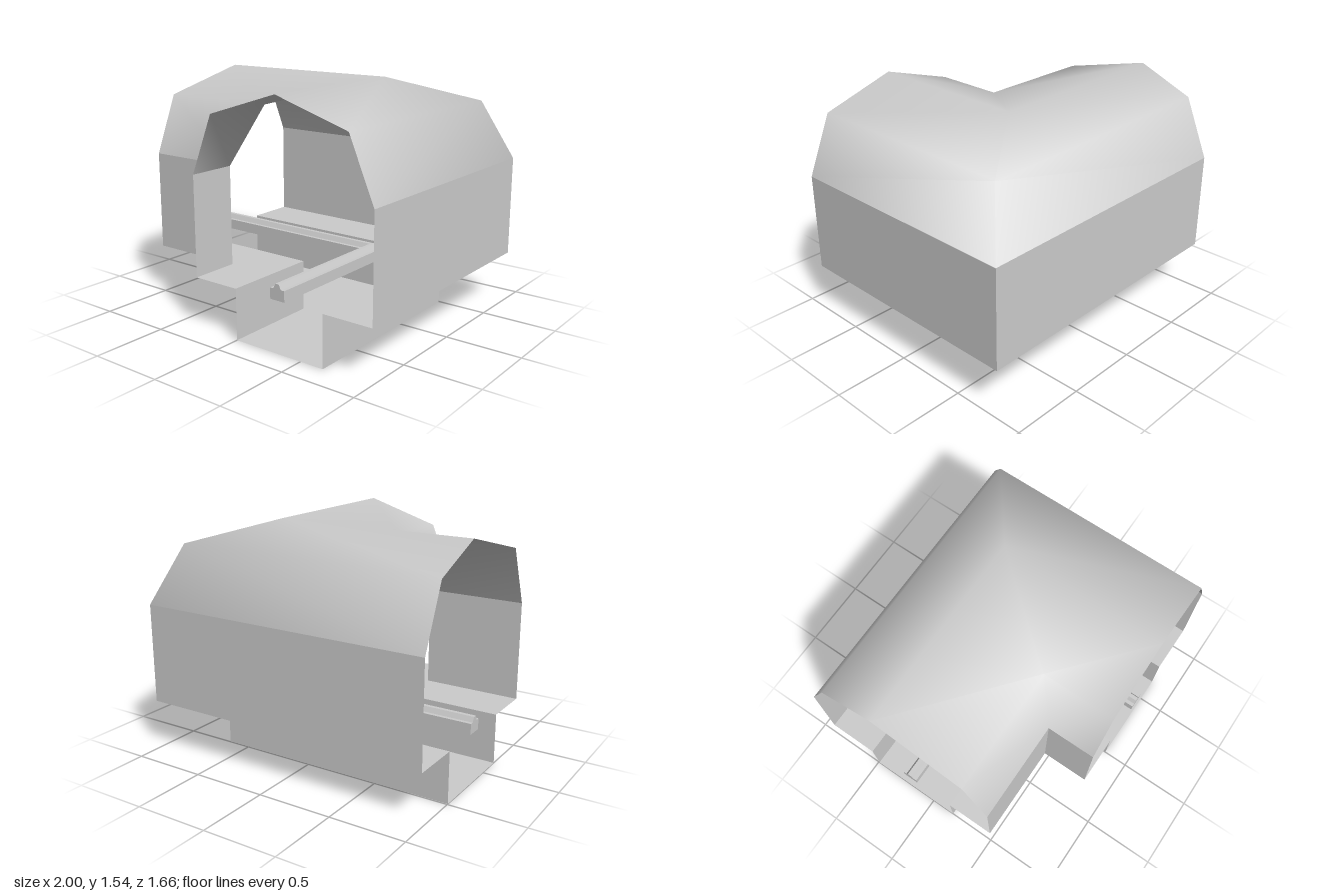
import * as THREE from 'three';

const material = new THREE.MeshStandardMaterial({ color: 0xcccccc, side: THREE.DoubleSide });

// Outer corner of the bend and the two open ends
const CX = 1, CZ = -0.83, END_X = -1, END_Z = 0.83;

// Sweeps a profile round the mitred right-angle bend.
// Each point is [u, y, uB]: u = distance in from the outer wall, uB = same for the front arm if it differs.
function bendSweep(profile, { smooth = false, closed = false } = {}) {
  const positions = [], index = [];
  for (const [u, y, uB = u] of profile) {
    positions.push(END_X, y, CZ + u, CX - uB, y, CZ + u, CX - uB, y, END_Z);
  }
  const n = profile.length;
  for (let i = 0; i < (closed ? n : n - 1); i++) {
    const j = (i + 1) % n;
    for (let c = 0; c < 2; c++) {
      const a = i * 3 + c, b = j * 3 + c;
      // split the quads alike on both arms, mirrored about the mitre
      if (c === 0) index.push(a, b, b + 1, a, b + 1, a + 1);
      else index.push(a, b, a + 1, b, b + 1, a + 1);
    }
  }
  let geometry = new THREE.BufferGeometry();
  geometry.setAttribute('position', new THREE.Float32BufferAttribute(positions, 3));
  geometry.setIndex(index);
  if (!smooth) geometry = geometry.toNonIndexed();
  geometry.computeVertexNormals();
  return geometry;
}

function add(parent, name, geometry) {
  const mesh = new THREE.Mesh(geometry, material);
  mesh.name = name;
  parent.add(mesh);
  return mesh;
}

export function createModel() {
  const model = new THREE.Group();
  model.name = 'tunnelCorner';

  // Walls, ledges and sunken trench, from the inner wall to the outer wall
  const hull = [
    [1.333, 1], [1.333, 0.337], [1, 0.337], [1, 0],
    [0.337, 0], [0.337, 0.337], [0, 0.337], [0, 1],
  ];
  add(model, 'wallsAndTrench', bendSweep(hull));

  // Faceted vault with smooth shading
  const vault = [
    [0, 1], [0.168, 1.39], [0.55, 1.545, 0.672], [1.172, 1.39], [1.333, 1],
  ];
  add(model, 'roof', bendSweep(vault, { smooth: true }));

  // Guide beam along the middle of the trench, with a narrow ridge on top
  const beam = [
    [0.617, 0.337], [0.617, 0.408], [0.642, 0.408], [0.658, 0.44],
    [0.684, 0.44], [0.7, 0.408], [0.724, 0.408], [0.724, 0.337],
  ];
  const rail = new THREE.Group();
  rail.name = 'guideRail';
  model.add(rail);
  add(rail, 'railBeam', bendSweep(beam, { closed: true }));

  // End caps of the beam
  const capShape = (toX) => new THREE.ShapeGeometry(
    new THREE.Shape(beam.map(([u, y]) => new THREE.Vector2(toX(u), y))));
  add(rail, 'railFrontCap', capShape((u) => CX - u)).position.z = END_Z;
  const sideCap = add(rail, 'railSideCap', capShape((u) => CZ + u));
  sideCap.rotation.y = -Math.PI / 2;
  sideCap.position.x = END_X;

  return model;
}
